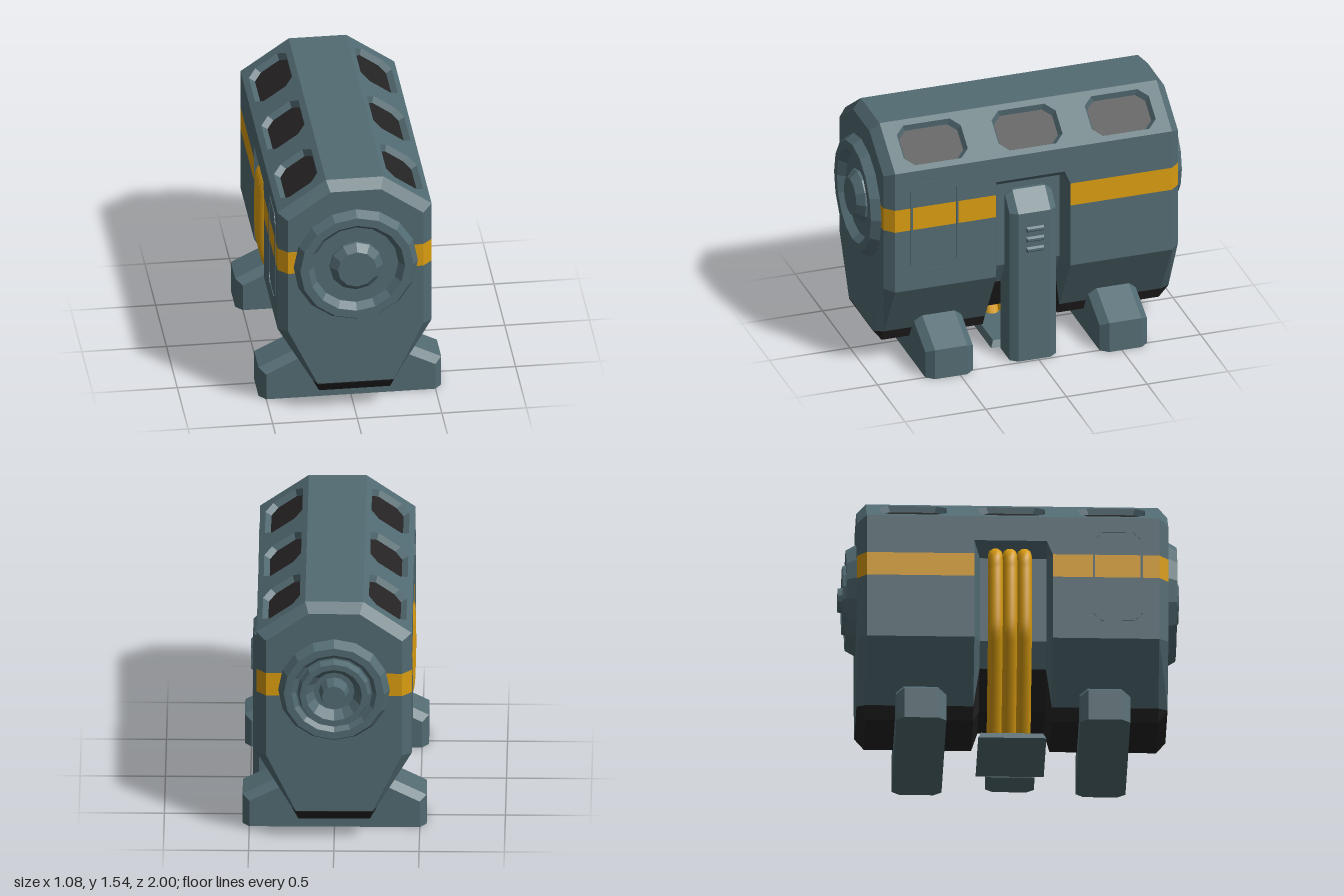
import * as THREE from 'three';
import { ConvexGeometry } from 'three/addons/geometries/ConvexGeometry.js';

const paint = (name, color) => {
  const m = new THREE.MeshStandardMaterial({ color });
  m.name = name;
  return m;
};

// Flat-faced mesh from a list of quads (corners counter-clockwise from outside)
function quadMesh(name, quads, material) {
  const pos = quads.flatMap(([a, b, c, d]) => [a, b, c, a, c, d].flat());
  const g = new THREE.BufferGeometry();
  g.setAttribute('position', new THREE.Float32BufferAttribute(pos, 3));
  g.computeVertexNormals();
  return named(name, g, material);
}

function named(name, geometry, material) {
  const m = new THREE.Mesh(geometry, material);
  m.name = name;
  return m;
}

function faceted(geometry) {
  const g = geometry.index ? geometry.toNonIndexed() : geometry;
  g.computeVertexNormals();
  return g;
}

const hull = (pts) => faceted(new ConvexGeometry(pts.map((p) => new THREE.Vector3(...p))));

// Rectangle with cut corners, counter-clockwise
function octagon(cx, cy, hw, hh, cut) {
  return [[-hw, -hh + cut], [-hw + cut, -hh], [hw - cut, -hh], [hw, -hh + cut],
    [hw, hh - cut], [hw - cut, hh], [-hw + cut, hh], [-hw, hh - cut]].map(([x, y]) => [cx + x, cy + y]);
}
const shapeOf = (pts, Type = THREE.Shape) => new Type(pts.map((p) => new THREE.Vector2(...p)));

// Disc with a stepped profile of [radius, z], facing +z or -z
function endDisc(name, profile, sides, dir, material) {
  const g = new THREE.LatheGeometry(profile.map((p) => new THREE.Vector2(...p)), sides);
  g.rotateX(dir * Math.PI / 2);
  g.translate(0, 1, 0);
  return named(name, faceted(g), material);
}

export function createModel() {
  const model = new THREE.Group();
  const shell = paint('slate shell', 0x526b72);
  const amber = paint('amber', 0xd99c10);
  const dark = paint('dark trim', 0x262424);

  // Hull: half cross-sections from the roof down to the keel
  const full = [[0.17, 1.545], [0.455, 1.345], [0.455, 1.19], [0.455, 1.105],
    [0.455, 0.96], [0.455, 0.565], [0.25, 0.21], [0.21, 0.135]];
  const inset = [[0.15, 1.49], [0.4, 1.315], [0.4, 1.19], [0.4, 1.105],
    [0.4, 0.96], [0.4, 0.575], [0.225, 0.21], [0.22, 0.205]];
  const waist = [[0.17, 1.545], [0.455, 1.345], [0.455, 1.19], [0.355, 1.12],
    [0.355, 0.96], [0.355, 0.585], [0.28, 0.44], [0.15, 0.22]];
  const rings = [[0.93, inset], [0.875, full], [0.25, full], [0.215, waist],
    [-0.175, waist], [-0.21, full], [-0.84, full], [-0.895, inset]].map(([z, half]) => [
    ...half.map(([x, y]) => [x, y, z]),
    ...half.slice().reverse().map(([x, y]) => [-x, y, z])]);
  const faces = { shell: [], stripe: [], trim: [] };
  for (let s = 0; s < 7; s++) {
    const a = rings[s], b = rings[s + 1], middle = s >= 2 && s <= 4;
    for (let j = 0; j < 16; j++) {
      const k = (j + 1) % 16;
      const band = j <= 7 || j === 15 ? j : 14 - j;
      if (band === 0 && s > 0 && s < 6) continue; // window slopes are added below
      const list = band === 3 && !middle ? faces.stripe : band === 6 || band === 7 ? faces.trim : faces.shell;
      list.push([a[j], a[k], b[k], b[j]]);
    }
  }
  const f = rings[0], r = rings[7];
  for (let i = 0; i < 7; i++) {
    const list = i === 3 ? faces.stripe : i === 6 ? faces.trim : faces.shell;
    list.push([f[15 - i], f[14 - i], f[i + 1], f[i]]);
    list.push([r[i], r[i + 1], r[14 - i], r[15 - i]]);
  }
  model.add(quadMesh('hullShell', faces.shell, shell),
    quadMesh('hullStripe', faces.stripe, amber),
    quadMesh('hullKeel', faces.trim, dark));

  // Roof slopes with recessed windows
  const run = 0.285, rise = 0.2, len = Math.hypot(run, rise);
  for (const s of [1, -1]) {
    const slope = new THREE.Group();
    slope.name = s > 0 ? 'leftRoofSlope' : 'rightRoofSlope';
    const u0 = s > 0 ? -0.875 : -0.84, u1 = s > 0 ? 0.84 : 0.875;
    const panel = shapeOf([[u0, -len / 2], [u1, -len / 2], [u1, len / 2], [u0, len / 2]]);
    const rims = [], panes = [];
    for (const z of [0.597, 0.01, -0.567]) {
      const outer = octagon(-s * z, 0, 0.198, 0.134, 0.055);
      const inner = octagon(-s * z, 0, 0.18, 0.116, 0.05);
      panel.holes.push(shapeOf(outer, THREE.Path));
      panes.push(shapeOf(inner));
      outer.forEach((p, i) => {
        const n = (i + 1) % 8;
        rims.push([[...p, 0], [...outer[n], 0], [...inner[n], -0.035], [...inner[i], -0.035]]);
      });
    }
    const glass = named('windowPanes', new THREE.ShapeGeometry(panes), dark);
    glass.position.z = -0.035;
    slope.add(named('roofPanel', new THREE.ShapeGeometry(panel), shell),
      quadMesh('windowRims', rims, shell), glass);
    slope.applyMatrix4(new THREE.Matrix4().makeBasis(
      new THREE.Vector3(0, 0, -s),
      new THREE.Vector3(-s * run / len, rise / len, 0),
      new THREE.Vector3(s * rise / len, run / len, 0)
    ).setPosition(s * 0.3125, 1.445, 0));
    model.add(slope);

    // Door outline on each flank
    const frame = shapeOf(octagon(0, 0, 0.147, 0.292, 0.05));
    frame.holes.push(shapeOf(octagon(0, 0, 0.134, 0.279, 0.046), THREE.Path));
    const door = named(s > 0 ? 'leftDoorFrame' : 'rightDoorFrame',
      new THREE.ExtrudeGeometry(frame, { depth: 0.005, bevelEnabled: false }), shell);
    door.rotation.y = s * Math.PI / 2;
    door.position.set(s * 0.454, 0.972, 0.632);
    model.add(door);
  }

  // Round end fittings
  model.add(
    endDisc('frontRing', [[0.37, 0.925], [0.335, 0.985], [0.285, 0.985], [0.25, 0.94], [0.001, 0.94]], 16, 1, shell),
    endDisc('frontHub', [[0.157, 0.938], [0.157, 0.955], [0.115, 1], [0, 1]], 12, 1, shell),
    endDisc('rearRing', [[0.33, 0.89], [0.295, 0.955], [0.25, 0.955], [0.225, 0.93], [0.215, 0.93],
      [0.2, 0.975], [0.165, 0.975], [0.12, 0.915], [0.001, 0.915]], 16, -1, shell),
    endDisc('rearHub', [[0.09, 0.91], [0.07, 1], [0, 1]], 12, -1, shell));

  // Feet across the width, with bevelled ends
  for (const [name, z] of [['frontFoot', 0.557], ['rearFoot', -0.522]]) {
    const pts = [];
    for (const sx of [1, -1]) for (const sz of [1, -1]) {
      pts.push([sx * 0.54, 0, sz * 0.1], [sx * 0.54, 0.19, sz * 0.1], [sx * 0.3, 0.31, sz * 0.1],
        [sx * 0.5, 0, sz * 0.147], [sx * 0.5, 0.165, sz * 0.147], [sx * 0.3, 0.265, sz * 0.147]);
    }
    const foot = named(name, hull(pts), shell);
    foot.position.z = z;
    model.add(foot);
  }

  // Side pillar with vents
  const column = [];
  for (const sz of [1, -1]) {
    const a = sz * 0.1, b = sz * 0.143;
    column.push([0.485, 0, a], [0.485, 0.97, a], [0.375, 1.08, a], [0.28, 1.08, a],
      [0.45, 0, b], [0.45, 0.965, b], [0.37, 1.045, b], [0.28, 1.045, b], [0.28, 0, b]);
  }
  const pillar = named('sidePillar', hull(column), shell);
  pillar.position.z = 0.022;
  model.add(pillar);
  for (const y of [0.86, 0.795, 0.728]) {
    const pts = [];
    for (const sz of [1, -1]) for (const sy of [1, -1]) {
      pts.push([0.484, y + sy * 0.018, 0.018 + sz * 0.056], [0.498, y + sy * 0.007, 0.018 + sz * 0.05]);
    }
    model.add(named('pillarVent', hull(pts), shell));
  }

  // Pipes down the opposite recess
  const path = [[-0.34, 1.15], [-0.415, 1.1], [-0.425, 1.0], [-0.425, 0.7], [-0.415, 0.62], [-0.375, 0.53], [-0.11, 0.02]];
  for (const z of [-0.085, 0, 0.085]) {
    const curve = new THREE.CatmullRomCurve3(path.map(([x, y]) => new THREE.Vector3(x, y, z)));
    model.add(named('pipe', new THREE.TubeGeometry(curve, 32, 0.044, 10), amber));
  }

  // Ground plate under the waist
  const plate = [];
  for (const sx of [1, -1]) for (const sz of [1, -1]) {
    plate.push([sx * 0.27, 0, 0.018 + sz * 0.2], [sx * 0.25, 0.04, 0.018 + sz * 0.182]);
  }
  model.add(named('groundPlate', hull(plate), shell));

  return model;
}
